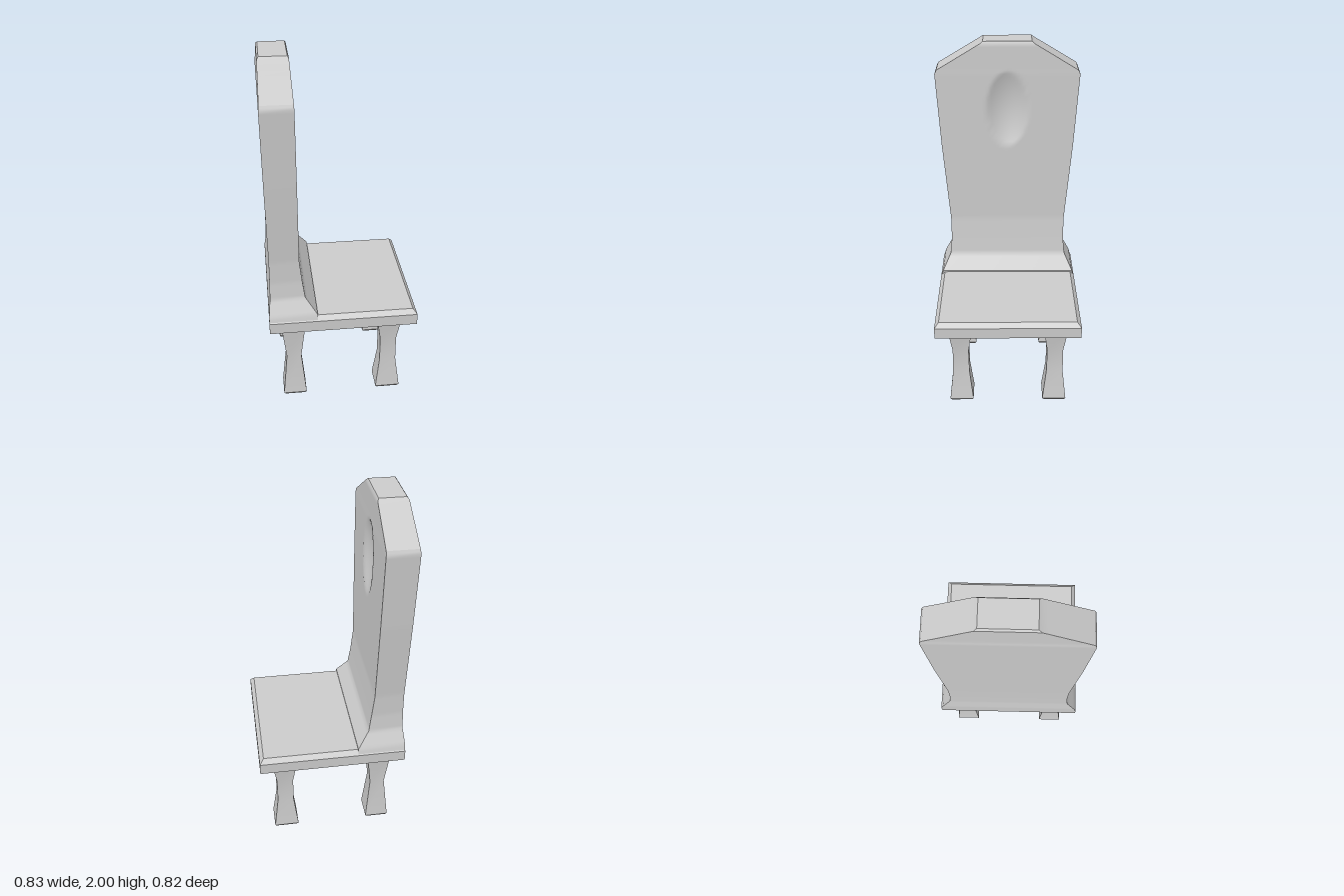
import * as THREE from 'three';
import { toCreasedNormals } from 'three/addons/utils/BufferGeometryUtils.js';

const material = new THREE.MeshStandardMaterial({ color: 0xcccccc });

// Lofts rectangular rings [y, xBack, xFront, halfDepth]; the +x side has
// `cols` columns whose points can be pushed inward by dent(y, z).
function loft(sections, { cols = 1, crease = 0.3, dent = () => 0 } = {}) {
  const pos = [], idx = [];
  const n = cols + 3;
  for (const [y, x0, x1, hz] of sections) {
    for (let c = 0; c <= cols; c++) {
      const z = hz * (1 - (2 * c) / cols);
      pos.push(x1 - dent(y, z), y, z);
    }
    pos.push(x0, y, -hz, x0, y, hz);
  }
  for (let i = 0; i < sections.length - 1; i++) {
    for (let j = 0; j < n; j++) {
      const a = i * n + j, b = i * n + ((j + 1) % n);
      idx.push(a, b, b + n, a, b + n, a + n);
    }
  }
  // end caps
  const top = (sections.length - 1) * n, bottomMid = sections.length * n;
  for (const [y, x0, x1] of [sections[0], sections.at(-1)]) pos.push((x0 + x1) / 2, y, 0);
  for (let j = 0; j < n; j++) {
    const k = (j + 1) % n;
    idx.push(bottomMid, k, j, bottomMid + 1, top + j, top + k);
  }
  const g = new THREE.BufferGeometry();
  g.setAttribute('position', new THREE.Float32BufferAttribute(pos, 3));
  g.setIndex(idx);
  return toCreasedNormals(g, crease);
}

// Inserts in-between sections so that no step in y is longer than `step`
function subdivide(sections, step) {
  const out = [sections[0]];
  for (let i = 1; i < sections.length; i++) {
    const a = sections[i - 1], b = sections[i];
    const count = Math.ceil((b[0] - a[0]) / step);
    for (let k = 1; k <= count; k++) out.push(a.map((v, m) => v + ((b[m] - v) * k) / count));
  }
  return out;
}

// Shallow oval hollow in the face of the backrest
function ovalDent(y, z) {
  const r2 = ((y - 1.615) / 0.22) ** 2 + (z / 0.118) ** 2;
  return r2 < 1 ? 0.04 * (1 - r2) : 0;
}

export function createModel() {
  const group = new THREE.Group();
  const add = (geometry, name) => {
    const mesh = new THREE.Mesh(geometry, material);
    mesh.name = name;
    group.add(mesh);
    return mesh;
  };

  // Seat slab with a chamfered upper edge
  add(loft([
    [0.51, -0.415, 0.415, 0.41],
    [0.575, -0.415, 0.415, 0.41],
    [0.602, -0.405, 0.392, 0.386],
  ]), 'seat');

  // Tall backrest: flared foot, widening shaft, gabled top
  const back = [
    [0.565, -0.415, -0.145, 0.409],
    [0.61, -0.415, -0.145, 0.397],
    [0.7, -0.405, -0.21, 0.35],
    [0.8, -0.403, -0.224, 0.341],
    [0.93, -0.402, -0.238, 0.342],
    [1.4, -0.41, -0.241, 0.38],
    [1.82, -0.416, -0.244, 0.405],
    [1.842, -0.413, -0.245, 0.395],
    [1.988, -0.409, -0.249, 0.15],
    [2.0, -0.4, -0.256, 0.135],
  ];
  add(loft(subdivide(back, 0.02), { cols: 44, crease: 0.6, dent: ovalDent }), 'backrest');

  // Four waisted square legs; the two under the backrest have a sharper waist
  const leg = (rows) => loft(rows.map(([y, hx, hz]) => [y, -hx, hx, hz]));
  const rearLeg = leg([
    [0, 0.058, 0.06], [0.014, 0.067, 0.069], [0.27, 0.042, 0.043], [0.52, 0.071, 0.07],
  ]);
  const frontLeg = leg([
    [0, 0.062, 0.06], [0.014, 0.071, 0.069], [0.2, 0.047, 0.048],
    [0.35, 0.047, 0.046], [0.52, 0.074, 0.07],
  ]);
  for (const side of [1, -1]) {
    add(rearLeg, 'rearLeg').position.set(-0.281, 0, side * 0.274);
    add(frontLeg, 'frontLeg').position.set(0.271, 0, side * 0.274);
  }
  return group;
}
